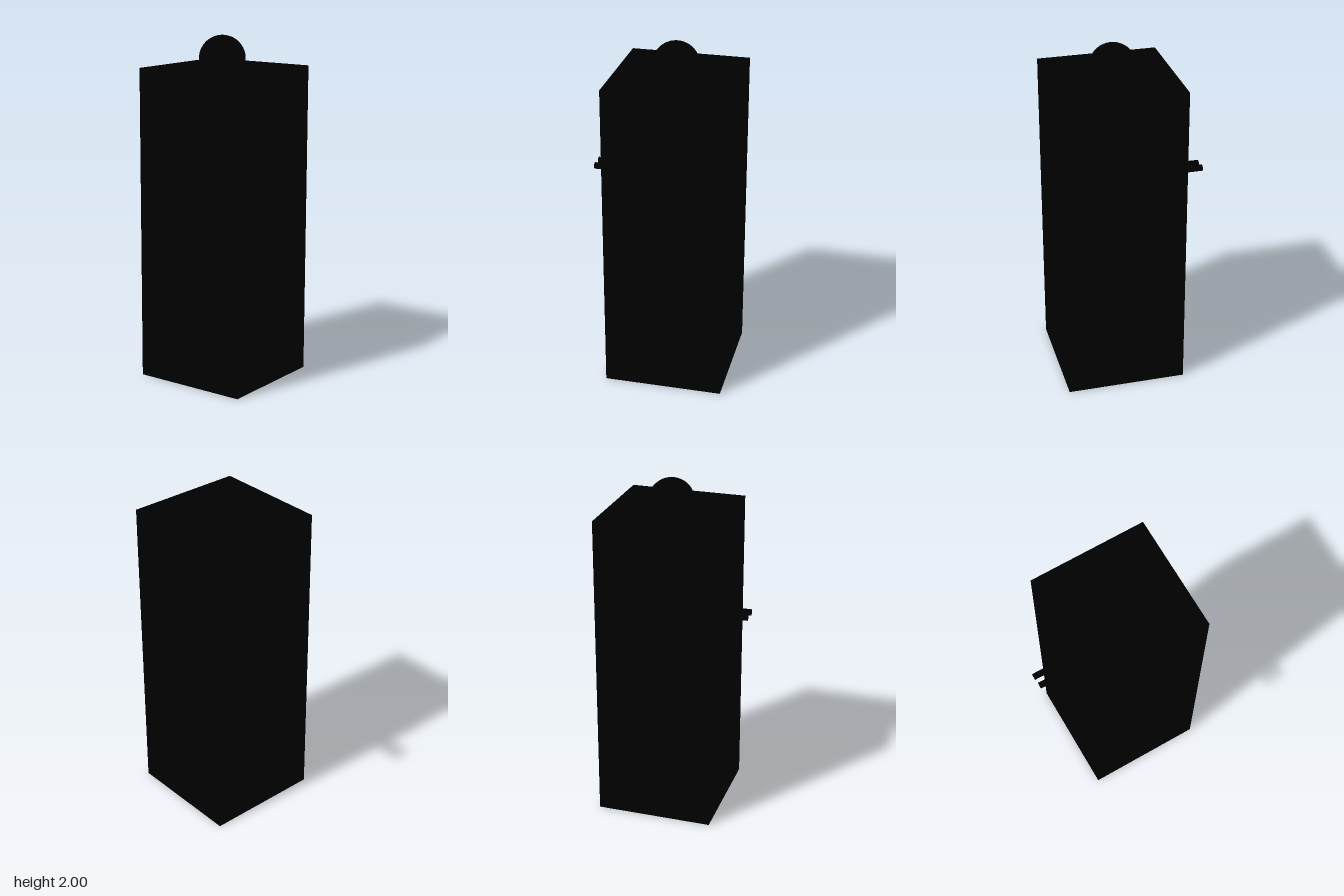
import * as THREE from 'three';

export function createModel() {
  const model = new THREE.Group();
  const black = new THREE.MeshStandardMaterial({ color: 0x000000, side: THREE.DoubleSide });
  black.name = 'black';

  const add = (name, geometry, x = 0, y = 0, z = 0, rx = 0, ry = 0, rz = 0) => {
    const mesh = new THREE.Mesh(geometry, black);
    mesh.name = name;
    mesh.position.set(x, y, z);
    mesh.rotation.set(rx, ry, rz);
    model.add(mesh);
    return mesh;
  };

  // Post extents, shaft axis and side bore height
  const x0 = -0.26, x1 = 0.43, z0 = -0.41, z1 = 0.275, H = 1.82;
  const cx = 0.08, cz = -0.07, cy = 1.265;
  const shaftR = 0.165, boreR = 0.138;
  const midX = (x0 + x1) / 2, midZ = (z0 + z1) / 2;
  const W = x1 - x0, D = z1 - z0, Q = Math.PI / 2;

  // A flat panel in its own xy plane, with an optional round hole
  const panel = (ax, ay, bx, by, hole) => {
    const s = new THREE.Shape();
    s.moveTo(ax, ay);
    s.lineTo(bx, ay);
    s.lineTo(bx, by);
    s.lineTo(ax, by);
    s.closePath();
    if (hole) {
      const p = new THREE.Path();
      p.absarc(hole[0], hole[1], hole[2], 0, Math.PI * 2, true);
      s.holes.push(p);
    }
    return new THREE.ShapeGeometry(s, 32);
  };

  // Post faces
  add('frontFace', panel(x0, 0, x1, H, [cx, cy, boreR]), 0, 0, z1);
  add('rightFace', panel(z0, 0, z1, H, [cz, cy, boreR]), x0, 0, 0, 0, -Q, 0);
  add('topFace', panel(x0, -z1, x1, -z0, [cx, -cz, shaftR]), 0, H, 0, -Q, 0, 0);
  add('backFace', new THREE.PlaneGeometry(W, H), midX, H / 2, z0, 0, Math.PI, 0);
  add('leftFace', new THREE.PlaneGeometry(D, H), x1, H / 2, midZ, 0, Q, 0);
  add('bottomFace', new THREE.PlaneGeometry(W, D), midX, 0, midZ, Q, 0, 0);

  // Inner shaft with a junction open towards the two side bores
  const low = cy - boreR, high = cy + boreR;
  const tube = (r, h, start = 0, sweep = Math.PI * 2) =>
    new THREE.CylinderGeometry(r, r, h, 40, 1, true, start, sweep);
  add('upperShaft', tube(shaftR, H - high), cx, (H + high) / 2, cz);
  add('junctionWall', tube(shaftR, high - low, 1.0, 2.7), cx, cy, cz);
  add('shaftFloor', new THREE.CircleGeometry(shaftR, 40), cx, low, cz, -Q, 0, 0);

  // Side bores
  const inner = 0.09;
  const frontLen = z1 - cz - inner, rightLen = cx - inner - x0;
  add('frontBore', tube(boreR, frontLen), cx, cy, z1 - frontLen / 2, Q, 0, 0);
  add('rightBore', tube(boreR, rightLen), x0 + rightLen / 2, cy, cz, 0, 0, Q);

  // Bulb: straight neck under a half-round dome
  const r = 0.133, shoulder = 2 - r;
  const profile = [new THREE.Vector2(0, 1.6), new THREE.Vector2(r, 1.6)];
  for (let i = 0; i <= 16; i++) {
    const a = (i / 16) * Q;
    profile.push(new THREE.Vector2(r * Math.cos(a), shoulder + r * Math.sin(a)));
  }
  add('bulb', new THREE.LatheGeometry(profile, 48), 0.074, 0, -0.059);

  // Wires enter through the bores, bend and rise to the bulb
  const wire = (name, tip, bend) => {
    const top = bend.clone().setY(1.62);
    const dir = tip.clone().sub(bend).normalize();
    const path = new THREE.CurvePath();
    const a = bend.clone().addScaledVector(dir, 0.04);
    const b = bend.clone().setY(bend.y + 0.04);
    path.add(new THREE.LineCurve3(tip, a));
    path.add(new THREE.QuadraticBezierCurve3(a, bend, b));
    path.add(new THREE.LineCurve3(b, top));
    add(name, new THREE.TubeGeometry(path, 48, 0.0185, 12, false));
    const cap = add(name + 'End', new THREE.CircleGeometry(0.0185, 12), tip.x, tip.y, tip.z);
    cap.quaternion.setFromUnitVectors(new THREE.Vector3(0, 0, 1), dir);
  };
  for (const x of [0.037, 0.116])
    wire('frontWire', new THREE.Vector3(x, 1.23, 0.407), new THREE.Vector3(x, 1.23, -0.03));
  for (const [z, end] of [[-0.132, -0.432], [-0.07, -0.428]])
    wire('rightWire', new THREE.Vector3(end, 1.222, z), new THREE.Vector3(0.077, 1.222, z));

  return model;
}
